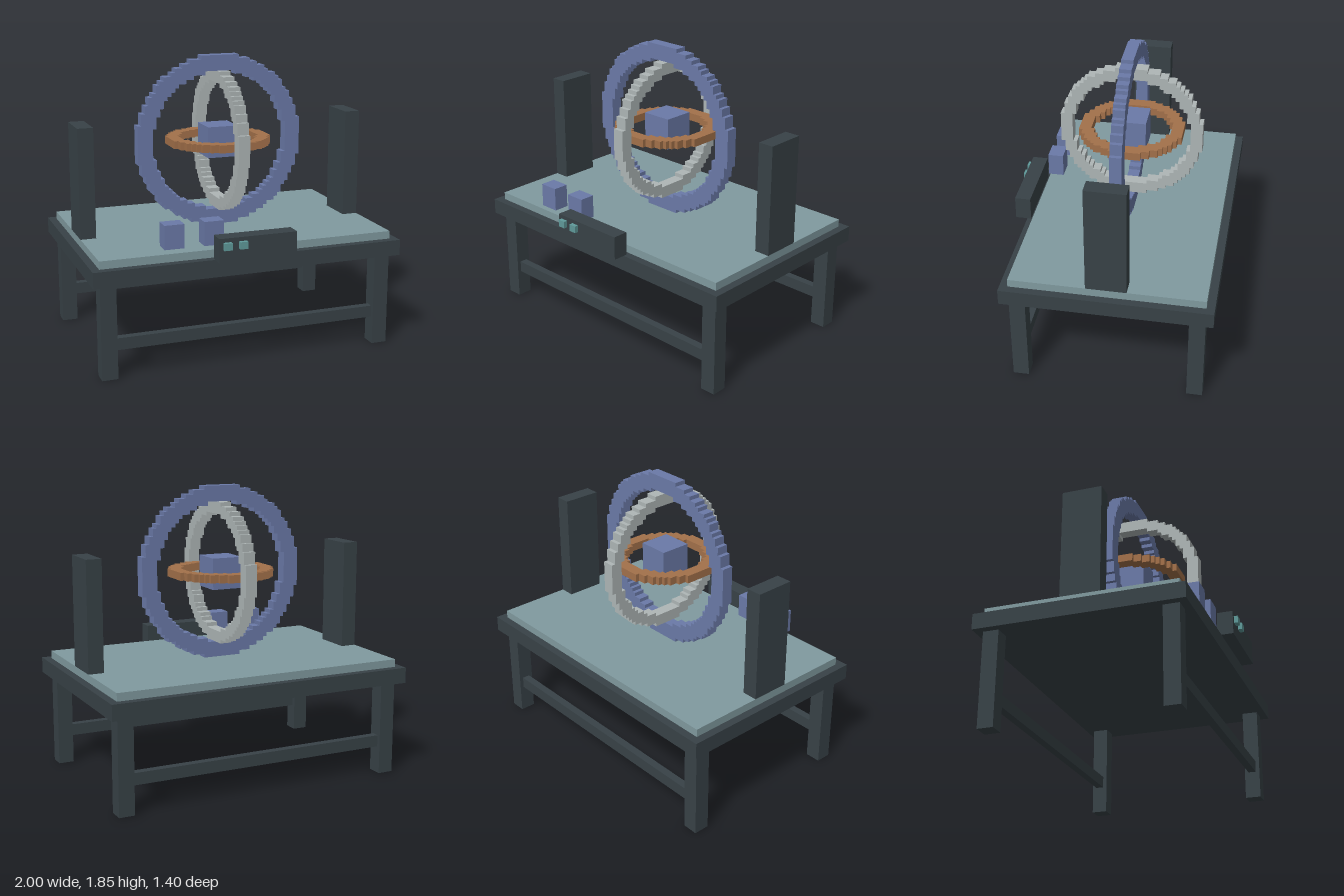
import * as THREE from 'three';
import { mergeGeometries } from 'three/addons/utils/BufferGeometryUtils.js';

const paint = (color) => new THREE.MeshStandardMaterial({ color, flatShading: true });
const DARK = paint(0x384247), TEAL = paint(0x809a9f), BLUE = paint(0x6b7aa8);
const SILVER = paint(0xaeb6b6), COPPER = paint(0xa3714a), BUTTON = paint(0x5f9a9a);

const UNIT = 0.025; // size of one block
const CENTRE = new THREE.Vector3(0, 1.3, -0.05);

// Box given by its lower and upper corners
function box(parent, name, material, [x0, y0, z0], [x1, y1, z1]) {
  const mesh = new THREE.Mesh(new THREE.BoxGeometry(x1 - x0, y1 - y0, z1 - z0), material);
  mesh.position.set((x0 + x1) / 2, (y0 + y1) / 2, (z0 + z1) / 2);
  mesh.name = name;
  parent.add(mesh);
}

// Stepped ring in the XY plane: each block row becomes one or two bars.
// Radii and the depth range (z0 to z1) are in blocks.
function steppedRing(outer, inner, z0, z1) {
  const bars = [];
  for (let row = -outer; row < outer; row++) {
    const y = row + 0.5;
    const inRing = (i) => {
      const r = Math.hypot(i + 0.5, y);
      return r <= outer && r >= inner;
    };
    for (let i = -outer; i < outer; i++) {
      if (!inRing(i)) continue;
      const start = i;
      while (i < outer && inRing(i)) i++;
      const bar = new THREE.BoxGeometry(i - start, 1, z1 - z0);
      bars.push(bar.translate((start + i) / 2, y, (z0 + z1) / 2));
    }
  }
  return mergeGeometries(bars).scale(UNIT, UNIT, UNIT);
}

function addRing(parent, name, material, geometry) {
  const mesh = new THREE.Mesh(geometry, material);
  mesh.position.copy(CENTRE);
  mesh.name = name;
  parent.add(mesh);
}

export function createModel() {
  const model = new THREE.Group();
  model.name = 'gyroscopeTable';

  // Table
  box(model, 'tableTop', DARK, [-1, 0.6, -0.7], [1, 0.7, 0.6]);
  box(model, 'topPlate', TEAL, [-0.95, 0.7, -0.65], [0.95, 0.75, 0.55]);
  for (const z of [-0.6, 0.5]) {
    for (const x of [-0.9, 0.9]) {
      box(model, 'leg', DARK, [x - 0.05, 0, z - 0.05], [x + 0.05, 0.6, z + 0.05]);
    }
    box(model, 'legRail', DARK, [-0.85, 0.175, z - 0.025], [0.85, 0.25, z + 0.025]);
  }

  // Side posts
  for (const x of [-0.9, 0.9]) {
    box(model, 'sidePost', DARK, [x - 0.05, 0.75, -0.175], [x + 0.05, 1.45, 0.075]);
  }

  // Nested rings around the core
  addRing(model, 'outerRing', BLUE, steppedRing(22, 18, -1, 2));
  addRing(model, 'middleRing', SILVER, steppedRing(18, 15, -1, 2).rotateY(Math.PI / 2));
  addRing(model, 'innerRing', COPPER, steppedRing(13, 10, -1, 1).rotateX(Math.PI / 2));
  box(model, 'core', BLUE, [-0.1, 1.2, -0.15], [0.1, 1.4, 0.05]);

  // Control panel with two buttons
  box(model, 'controlPanel', DARK, [-0.25, 0.7, 0.575], [0.25, 0.85, 0.675]);
  for (const x of [-0.225, -0.125]) {
    box(model, 'button', BUTTON, [x, 0.78, 0.675], [x + 0.05, 0.825, 0.7]);
  }

  // Small blocks hovering over the plate
  for (const x of [-0.55, -0.3]) {
    box(model, 'smallBlock', BLUE, [x, 0.777, 0.45], [x + 0.125, 0.927, 0.55]);
  }
  return model;
}
